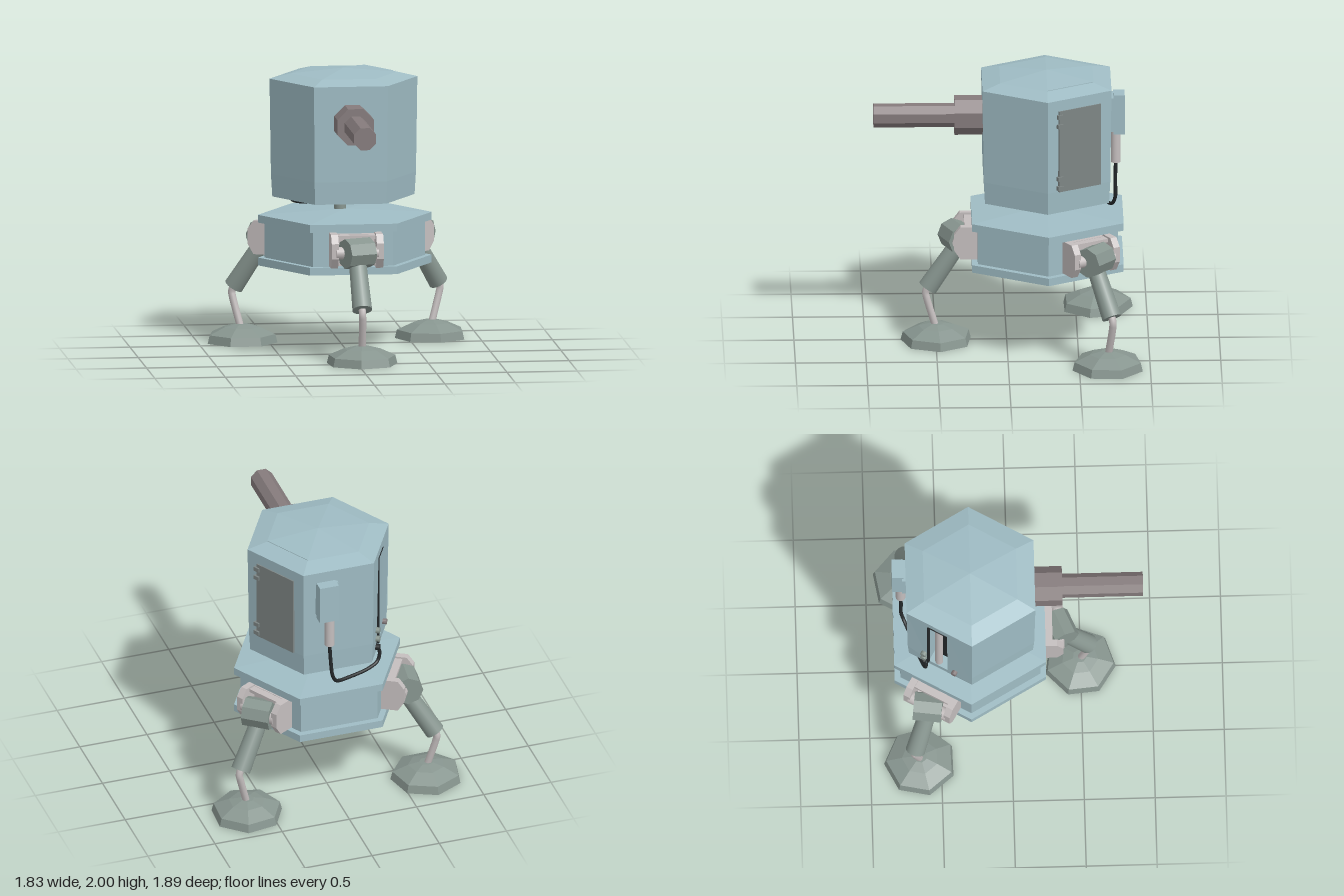
import * as THREE from 'three';

const V = (x, y, z) => new THREE.Vector3(x, y, z);
const P = pts => pts.map(p => new THREE.Vector2(...p));
const mat = (color, flatShading = true) => new THREE.MeshStandardMaterial({ color, flatShading });
const BLUE = mat(0x9fbcc4), STEEL = mat(0x87958f), STEEL_SMOOTH = mat(0x87958f, false),
  LIGHT = mat(0xc4bebe), LIGHT_SMOOTH = mat(0xc4bebe, false), GUN = mat(0x857b7c),
  DOOR = mat(0x7d8584), DARK = mat(0x24282a, false);

function add(parent, name, geo, material, x = 0, y = 0, z = 0) {
  const mesh = new THREE.Mesh(geo, material);
  mesh.name = name;
  mesh.position.set(x, y, z);
  parent.add(mesh);
  return mesh;
}
function group(parent, name, x = 0, y = 0, z = 0, turn = 0) {
  const g = new THREE.Group();
  g.name = name;
  g.position.set(x, y, z);
  g.rotation.y = turn;
  parent.add(g);
  return g;
}
const box = (w, h, d) => new THREE.BoxGeometry(w, h, d);
const drum = (r, len, sides) => new THREE.CylinderGeometry(r, r, len, sides);

// Tapered rod between two points
function rod(parent, name, a, b, ra, rb, material) {
  const m = add(parent, name, new THREE.CylinderGeometry(rb, ra, a.distanceTo(b), 20), material);
  m.position.copy(a).lerp(b, 0.5);
  m.quaternion.setFromUnitVectors(V(0, 1, 0), b.clone().sub(a).normalize());
}
const tube = (pts, r, n = 32) =>
  new THREE.TubeGeometry(new THREE.CatmullRomCurve3(pts, false, 'centripetal'), n, r, 10);

// One leg pointing along +z from the hub centre
function buildLeg(parent, turn) {
  const hip = group(parent, 'leg', 0, 0, -0.285, turn);
  const leg = group(hip, 'legAssembly', 0.015);
  // Chamfered bracket cheeks and back plate
  const cheek = new THREE.Shape(P([[0.47, 0.66], [0.615, 0.66], [0.66, 0.73], [0.66, 0.84], [0.615, 0.9], [0.47, 0.9]]));
  for (const x of [-0.135, 0.185]) {
    const geo = new THREE.ExtrudeGeometry(cheek, { depth: 0.05, bevelEnabled: false });
    add(leg, 'bracketCheek', geo.rotateY(-Math.PI / 2), LIGHT, x);
  }
  add(leg, 'bracketBack', box(0.28, 0.22, 0.06), LIGHT, 0, 0.78, 0.5);
  for (const y of [0.685, 0.875]) add(leg, 'bracketBar', box(0.28, 0.025, 0.09), LIGHT, 0, y, 0.54);
  // Hip joint
  add(leg, 'hipAxle', drum(0.045, 0.3, 16).rotateZ(Math.PI / 2), LIGHT_SMOOTH, 0, 0.77, 0.625);
  add(leg, 'hipJoint', drum(0.107, 0.2, 8).rotateX(Math.PI / 8).rotateZ(Math.PI / 2), STEEL, 0, 0.77, 0.635);
  // Limb and foot
  rod(leg, 'upperLeg', V(0, 0.74, 0.61), V(0.01, 0.395, 0.842), 0.06, 0.07, STEEL_SMOOTH);
  add(leg, 'lowerLeg', tube([V(0.01, 0.43, 0.825), V(0.01, 0.385, 0.85), V(0.01, 0.355, 0.857),
    V(0.012, 0.32, 0.85), V(0.015, 0.1, 0.785)], 0.026), LIGHT_SMOOTH);
  add(leg, 'foot', new THREE.LatheGeometry(P([[0, 0], [0.255, 0], [0.24, 0.06], [0.13, 0.11], [0.05, 0.13], [0, 0.132]]),
    7, -0.13), STEEL, 0.015, 0, 0.78);
}

function buildHub(root) {
  const hub = group(root, 'hub', 0, 0, -0.285);
  // Hexagonal shell, flanged above and below, open underneath
  add(hub, 'hubShell', new THREE.LatheGeometry(P([[0, 0.85], [0.53, 0.85], [0.53, 0.6], [0.617, 0.6], [0.617, 0.655],
    [0.57, 0.655], [0.57, 0.905], [0.617, 0.905], [0.617, 0.96], [0, 0.995]]), 6, Math.PI / 6), BLUE);
  add(hub, 'neck', drum(0.042, 0.14, 20), STEEL_SMOOTH, -0.03, 1.03, -0.025);
}

function buildTurret(root) {
  const turret = group(root, 'turret', -0.01, 0, -0.28);
  const wall = [[0.505, 1.09], [0.515, 1.25], [0.525, 1.93]];
  const radius = y => y < 1.25 ? 0.505 + (y - 1.09) / 16 : 0.515 + (y - 1.25) / 68;
  // Five plain walls, floor and roof; the sixth wall holds the slot
  add(turret, 'walls', new THREE.LatheGeometry(P(wall), 5, Math.PI * 1.5, Math.PI * 5 / 3), BLUE);
  add(turret, 'floor', new THREE.LatheGeometry(P([[0, 1.09], [0.505, 1.09]]), 6, Math.PI / 6), BLUE);
  add(turret, 'roof', new THREE.LatheGeometry(P([[0.525, 1.93], [0.38, 1.965], [0, 2]]), 6, Math.PI / 6), BLUE);
  add(turret, 'roofPanel', new THREE.LatheGeometry(P([[0.375, 1.966], [0.375, 1.97], [0, 2.003]]), 1, Math.PI / 2, Math.PI / 3), BLUE);

  // Slotted wall
  const side = group(turret, 'slotSide', 0, 0, 0, -Math.PI * 2 / 3);
  const left = wall.map(([r, y]) => [-r / 2, y]), right = wall.map(([r, y]) => [r / 2, y]).reverse();
  const panel = new THREE.Shape(P([...left, ...right]));
  panel.holes.push(new THREE.Path(P([[-0.09, 1.15], [0.06, 1.15], [0.06, 1.86], [-0.09, 1.86]])));
  const geo = new THREE.ExtrudeGeometry(panel, { depth: 0.1, bevelEnabled: false });
  const pos = geo.attributes.position;
  for (let i = 0; i < pos.count; i++)
    pos.setZ(i, pos.getZ(i) - 0.1 + radius(pos.getY(i)) * Math.cos(Math.PI / 6));
  add(side, 'slotWall', geo, BLUE);
  add(side, 'slotBack', box(0.2, 0.76, 0.01), DARK, -0.015, 1.505, 0.35);
  add(side, 'slotRod', drum(0.028, 0.7, 16), LIGHT_SMOOTH, -0.025, 1.505, 0.41);
  add(side, 'slotTrim', box(0.012, 0.71, 0.02), DARK, -0.09, 1.505, 0.447);
  add(side, 'slotTrim', box(0.15, 0.012, 0.02), DARK, -0.015, 1.86, 0.447);
  for (const y of [1.14, 1.21, 1.28])
    add(side, 'socket', drum(0.022, 0.04, 14).rotateX(Math.PI / 2), y < 1.2 ? DARK : STEEL_SMOOTH, -0.125, y, 0.45);
  add(side, 'button', drum(0.02, 0.04, 14).rotateX(Math.PI / 2), GUN, 0.12, 1.2, 0.45);

  // Access door with hinges
  const doorSide = group(turret, 'doorSide', 0, 0, 0, Math.PI * 2 / 3);
  add(doorSide, 'door', box(0.345, 0.6, 0.02), DOOR, 0, 1.55, 0.452);
  for (const y of [1.28, 1.35, 1.74, 1.81])
    add(doorSide, 'hinge', box(0.045, 0.03, 0.03), DOOR, -0.165, y, 0.46);

  // Gun
  const gun = (name, r, z0, z1) => add(turret, name,
    drum(r, z1 - z0, 8).rotateY(Math.PI / 8).rotateX(Math.PI / 2), GUN, 0.01, 1.67, (z0 + z1) / 2 + 0.28);
  gun('gunCollar', 0.14, 0.12, 0.37);
  gun('gunBarrel', 0.085, 0.3, 0.94);
}

function buildBackUnit(root) {
  const unit = group(root, 'backUnit');
  add(unit, 'controlBox', box(0.14, 0.29, 0.08), BLUE, 0.09, 1.715, -0.79);
  add(unit, 'controlBoxMount', box(0.16, 0.25, 0.04), BLUE, 0.08, 1.715, -0.74);
  add(unit, 'canister', drum(0.035, 0.23, 20), LIGHT_SMOOTH, 0.07, 1.455, -0.768);
  // Cable hanging down and looping to the lowest socket
  add(unit, 'cable', tube([V(0.07, 1.35, -0.768), V(0.06, 1.2, -0.765), V(0.045, 1.07, -0.765), V(0.01, 1.01, -0.745),
    V(-0.1, 0.99, -0.7), V(-0.27, 0.995, -0.64), V(-0.34, 1.02, -0.61), V(-0.36, 1.08, -0.6), V(-0.345, 1.14, -0.6)], 0.013, 64), DARK);
}

export function createModel() {
  const root = new THREE.Group();
  root.name = 'tripodTurret';
  buildHub(root);
  for (const k of [0, 1, 2]) buildLeg(root, k * Math.PI * 2 / 3);
  buildTurret(root);
  buildBackUnit(root);
  return root;
}
